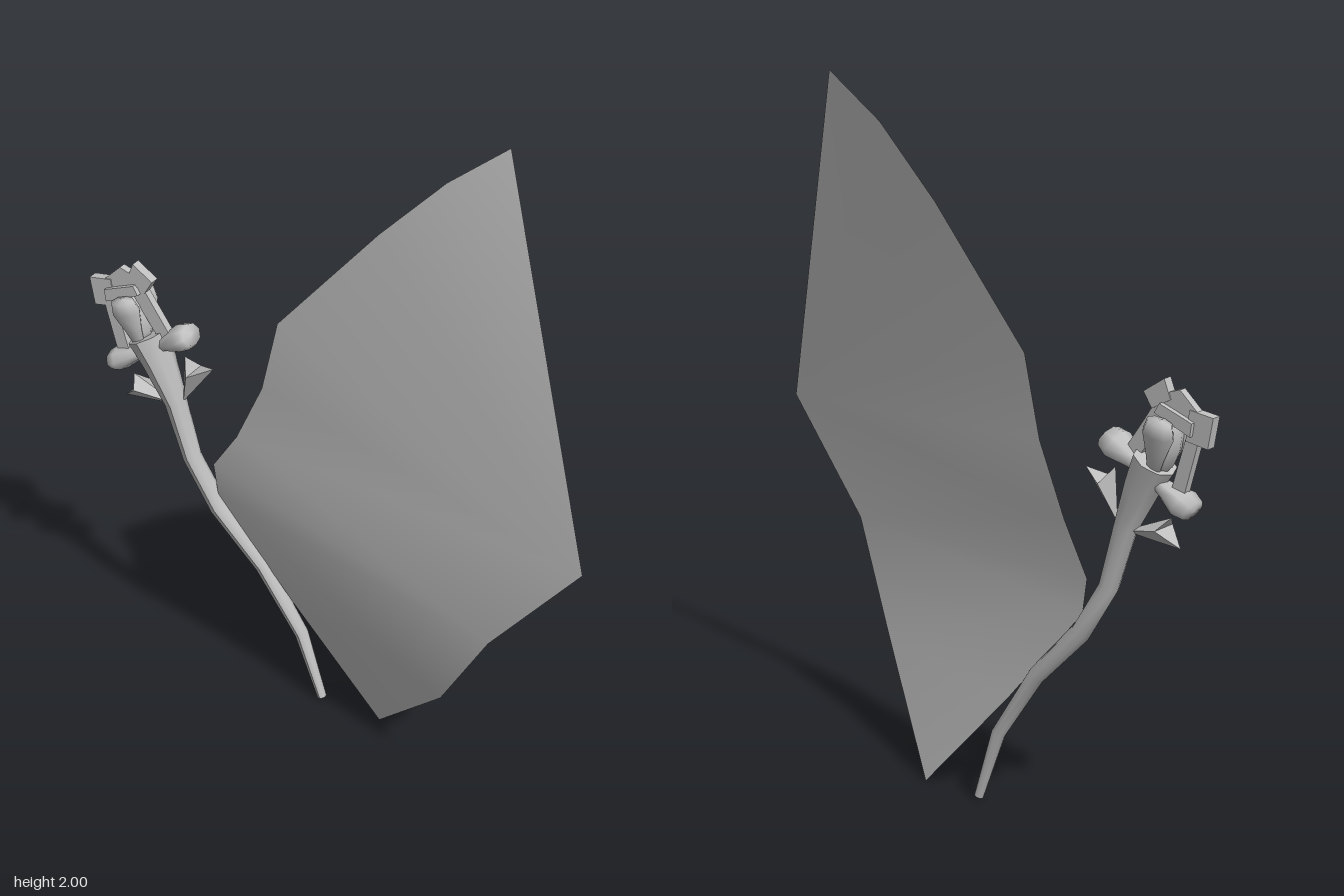
import * as THREE from 'three';

const grey = new THREE.MeshStandardMaterial({ color: 0xbfbfbf, side: THREE.DoubleSide });
grey.name = 'plain grey';
const Z = -0.115; // depth of the stem and bud

function part(name, geometry, parent) {
  const mesh = new THREE.Mesh(geometry, grey);
  mesh.name = name;
  parent.add(mesh);
  return mesh;
}

function faces(points, index, flat) {
  let g = new THREE.BufferGeometry();
  g.setAttribute('position', new THREE.Float32BufferAttribute(points.flat(), 3));
  g.setIndex(index.flat());
  if (flat) g = g.toNonIndexed();
  g.computeVertexNormals();
  return g;
}

// Large curved leaf, ruled between its left and right edges
function bigLeaf() {
  const right = [[0.1, 0, -0.11], [0.4, 0.32, 0.085], [0.585, 0.63, 0.175], [0.86, 0.96, 0.2], [0.5, 2, -0.03]];
  const left = [[-0.2, 0.33, -0.11], [-0.45, 0.63, -0.11], [-0.46, 0.73, -0.105], [-0.36, 0.87, -0.075],
    [-0.26, 1.07, -0.055], [-0.2, 1.3, -0.045], [0.13, 1.67, -0.02], [0.33, 1.87, -0.015]];
  const tris = [[0, 1, 5], [1, 6, 5], [1, 2, 6], [2, 7, 6], [2, 8, 7], [2, 3, 8],
    [3, 9, 8], [3, 10, 9], [3, 11, 10], [3, 12, 11], [3, 4, 12]];
  return faces([...right, ...left], tris);
}

// Bent stem: a cylinder whose rings follow x, y, radius stations
function bentStem() {
  const st = [[-0.1, 0.01, 0.014], [-0.17, 0.22, 0.021], [-0.3, 0.42, 0.025], [-0.45, 0.58, 0.029],
    [-0.54, 0.73, 0.029], [-0.59, 0.9, 0.034], [-0.645, 1.03, 0.052], [-0.68, 1.1, 0.062]];
  const n = st.length - 1;
  const g = new THREE.CylinderGeometry(1, 1, 1, 8, n);
  const p = g.attributes.position;
  for (let k = 0; k < p.count; k++) {
    const i = Math.round((p.getY(k) + 0.5) * n);
    const a = st[Math.max(i - 1, 0)], b = st[Math.min(i + 1, n)];
    const t = new THREE.Vector2(b[0] - a[0], b[1] - a[1]).normalize();
    const [x, y, r] = st[i];
    const s = p.getX(k) * r;
    p.setXYZ(k, x + t.y * s, y - t.x * s, Z + p.getZ(k) * r);
  }
  g.computeVertexNormals();
  return g;
}

// Small notched leaf: a folded arrowhead opening away from the stem
function notchedLeaf(base, a, b, side) {
  const pts = [[...base, Z], [...a, Z], [...side, Z + 0.042], [...b, Z], [...side, Z - 0.042]];
  return faces(pts, [[0, 2, 1], [0, 3, 2], [0, 4, 3], [0, 1, 4], [1, 2, 4], [2, 3, 4]], true);
}

// Sepal: a lobe swelling away from the cup
function sepal(name, from, to, width, parent) {
  const a = new THREE.Vector3(...from), b = new THREE.Vector3(...to);
  const profile = [[0, 0], [0.35, 0], [0.6, 0.35], [1, 0.74], [0.8, 0.96], [0, 1]]
    .map(([r, h]) => new THREE.Vector2(r, h));
  const mesh = part(name, new THREE.LatheGeometry(profile, 8), parent);
  const dir = b.clone().sub(a);
  mesh.position.copy(a);
  mesh.scale.set(width[0], dir.length(), width[1]);
  mesh.quaternion.setFromUnitVectors(new THREE.Vector3(0, 1, 0), dir.normalize());
}

// Flat plate in the front plane, centred on the stem depth
function plate(outline, depth) {
  const shape = new THREE.Shape(outline.map(([x, y]) => new THREE.Vector2(x, y)));
  return new THREE.ExtrudeGeometry(shape, { depth, bevelEnabled: false }).translate(0, 0, Z - depth / 2);
}

export function createModel() {
  const model = new THREE.Group();
  model.name = 'flower';
  part('largeLeaf', bigLeaf(), model);
  part('stem', bentStem(), model);

  // Notched leaves below the bud
  part('leftSmallLeaf', notchedLeaf([-0.565, 0.909], [-0.555, 1.063], [-0.458, 1.047], [-0.527, 1.02]), model);
  part('rightSmallLeaf', notchedLeaf([-0.585, 0.893], [-0.735, 0.957], [-0.765, 0.877], [-0.71, 0.925]), model);

  // Sepals on four sides
  const head = new THREE.Group();
  head.name = 'flowerHead';
  model.add(head);
  sepal('leftSepal', [-0.66, 1.065, Z], [-0.525, 1.145, Z], [0.041, 0.054], head);
  sepal('rightSepal', [-0.67, 1.055, Z], [-0.805, 0.985, Z], [0.037, 0.054], head);
  for (const s of [1, -1]) {
    sepal(s > 0 ? 'frontSepal' : 'backSepal', [-0.69, 1.07, Z + s * 0.025], [-0.73, 1.23, Z + s * 0.055],
      [0.048, 0.03], head);
  }

  // Bud core
  const bud = part('bud', new THREE.SphereGeometry(1, 8, 6), head);
  bud.position.set(-0.715, 1.15, Z);
  bud.scale.set(0.042, 0.085, 0.042);
  bud.rotation.z = 0.28;

  // Arched petal around the bud, with folded tabs
  part('archedPetal', plate([[-0.775, 1.01], [-0.815, 1.16], [-0.83, 1.24], [-0.76, 1.305], [-0.7, 1.285],
    [-0.655, 1.215], [-0.585, 1.11], [-0.625, 1.09], [-0.69, 1.185], [-0.715, 1.225], [-0.785, 1.195],
    [-0.735, 1.02]], 0.024), head);
  part('rightPetalTab', plate([[-0.865, 1.248], [-0.792, 1.258], [-0.782, 1.174], [-0.85, 1.163]], 0.03), head);
  part('leftPetalTab', plate([[-0.713, 1.328], [-0.649, 1.285], [-0.676, 1.243], [-0.734, 1.275]], 0.03), head);
  part('petalLip', plate([[-0.808, 1.227], [-0.707, 1.264], [-0.692, 1.237], [-0.803, 1.19]], 0.055), head);
  return model;
}
